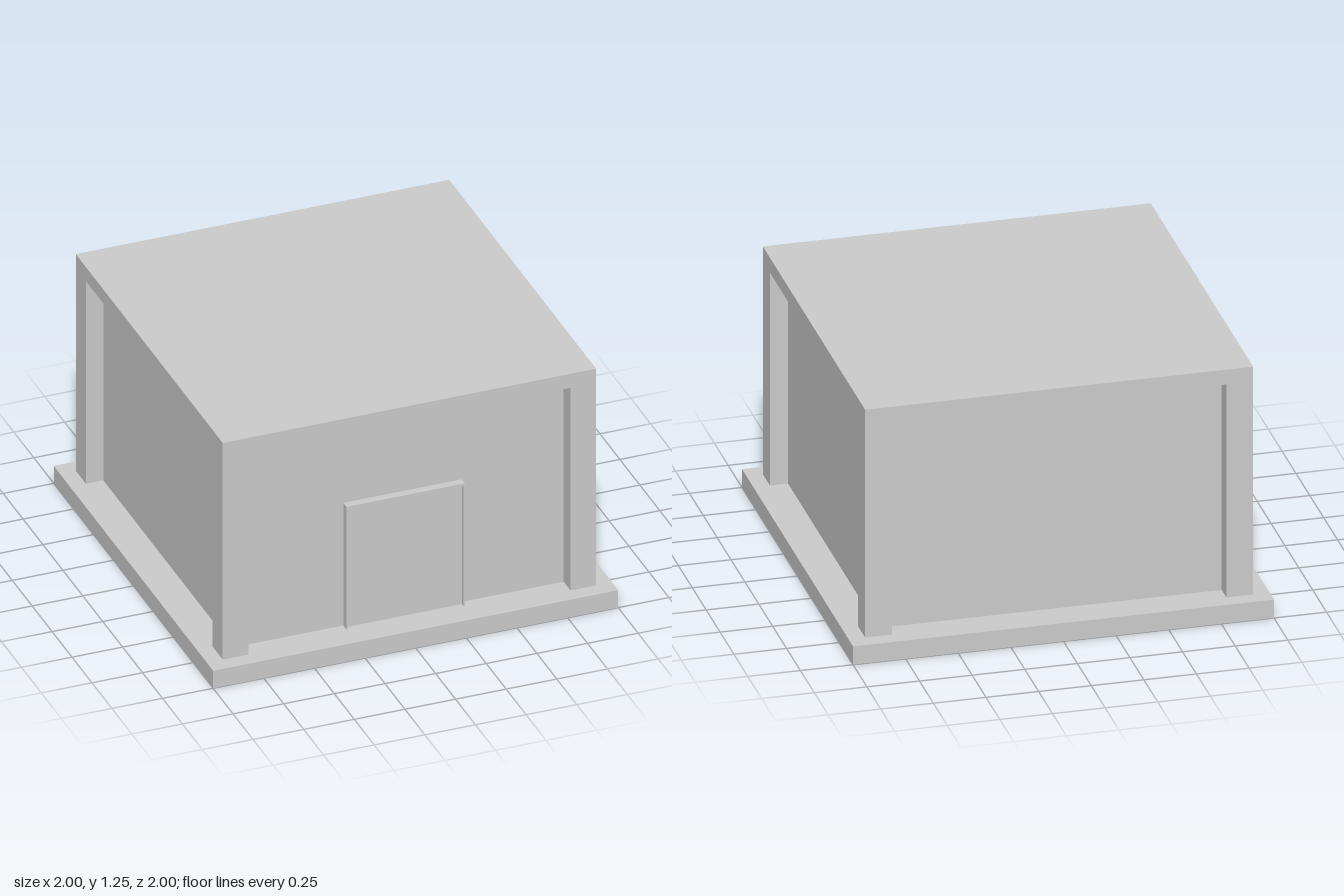
import * as THREE from 'three';

const lightGrey = new THREE.MeshStandardMaterial({ color: 0xcccccc, side: THREE.DoubleSide });
lightGrey.name = 'light grey';

// Box given by its lower and upper corners
function box(name, [x0, y0, z0], [x1, y1, z1]) {
  const mesh = new THREE.Mesh(new THREE.BoxGeometry(x1 - x0, y1 - y0, z1 - z0), lightGrey);
  mesh.position.set((x0 + x1) / 2, (y0 + y1) / 2, (z0 + z1) / 2);
  mesh.name = name;
  return mesh;
}

export function createModel() {
  const model = new THREE.Group();
  model.name = 'building';

  const floor = 0.093, beam = 1.172, top = 1.247;
  const outer = 0.922, inner = 0.795, wall = 0.836;

  // Base slab, hollow and open underneath
  const base = box('base', [-1, 0, -1], [1, floor, 1]);
  const faces = Array.from(base.geometry.index.array);
  faces.splice(18, 6); // bottom face
  base.geometry.setIndex(faces);
  base.geometry.clearGroups();
  model.add(base);

  // Recessed walls
  model.add(box('walls', [-wall, floor, -wall], [wall, beam, wall]));

  // Corner pillars
  for (const sx of [-1, 1]) for (const sz of [-1, 1]) {
    const x = [sx * inner, sx * outer].sort((a, b) => a - b);
    const z = [sz * inner, sz * outer].sort((a, b) => a - b);
    model.add(box('cornerPillar', [x[0], floor, z[0]], [x[1], beam, z[1]]));
  }

  // Flat roof
  model.add(box('roof', [-outer, beam, -outer], [outer, top, outer]));

  // Front door with a thin raised frame
  const half = 0.293, jamb = 0.007, doorTop = 0.733, frameTop = 0.746, front = 0.875;
  const door = new THREE.Group();
  door.name = 'frontDoor';
  door.add(box('doorPanel', [-half + jamb, floor, wall - 0.01], [half - jamb, doorTop, front - 0.02]));
  door.add(box('doorLintel', [-half, doorTop, wall - 0.01], [half, frameTop, front]));
  door.add(box('doorJambRight', [-half, floor, wall - 0.01], [-half + jamb, doorTop, front]));
  door.add(box('doorJambLeft', [half - jamb, floor, wall - 0.01], [half, doorTop, front]));
  model.add(door);

  return model;
}
